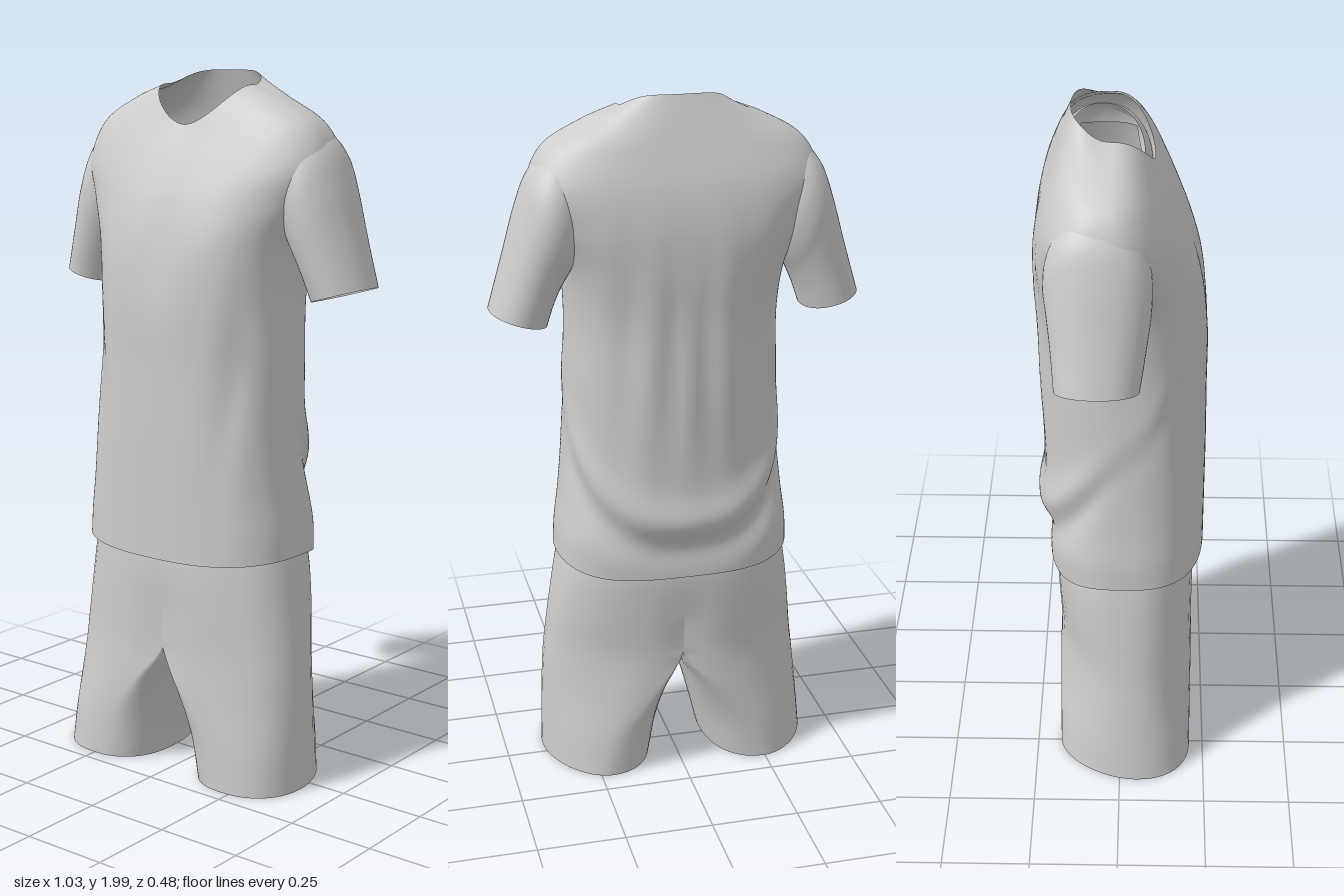
import * as THREE from 'three';
import { mergeVertices } from 'three/addons/utils/BufferGeometryUtils.js';

const gauss = (d, w) => Math.exp(-(d / w) * (d / w));
const lerp = THREE.MathUtils.lerp;
const smoothstep = THREE.MathUtils.smoothstep;
const bend = (v, n) => Math.sign(v) * Math.pow(Math.abs(v), 2 / n);

// Smooth surface through key rings; point(key, angle) gives one point of a ring.
// keep(col, row) can leave faces out; flip reverses the winding.
function loft(keys, point, cols, rows, { tweak, keep, flip } = {}) {
  const pos = [], index = [];
  for (let i = 0; i < cols; i++) {
    const a = (i / cols) * Math.PI * 2;
    const curve = new THREE.CatmullRomCurve3(keys.map(k => point(k, a)));
    for (let j = 0; j <= rows; j++) {
      const p = curve.getPoint(j / rows);
      if (tweak) tweak(p, a);
      pos.push(p.x, p.y, p.z);
    }
  }
  const id = (i, j) => (i % cols) * (rows + 1) + j;
  for (let i = 0; i < cols; i++) {
    for (let j = 0; j < rows; j++) {
      if (keep && !keep(i, j)) continue;
      const [a, b, c, d] = [id(i, j), id(i + 1, j), id(i + 1, j + 1), id(i, j + 1)];
      if (flip) index.push(a, c, b, a, d, c);
      else index.push(a, b, c, a, c, d);
    }
  }
  const g = new THREE.BufferGeometry();
  g.setAttribute('position', new THREE.Float32BufferAttribute(pos, 3));
  g.setIndex(index);
  g.computeVertexNormals();
  return g;
}

// Shirt body: half width, front z, back z, front y, side y, back y,
// front and back squareness, V of the neckline
const bodyKeys = [
  [0.34, 0.24, -0.21, 0.66, 0.675, 0.645, 2.6, 2.6, 2],
  [0.336, 0.24, -0.22, 0.74, 0.75, 0.73, 2.6, 2.5, 2],
  [0.323, 0.24, -0.222, 0.85, 0.85, 0.84, 2.6, 2.3, 2],
  [0.31, 0.24, -0.222, 1.0, 1.0, 1.0, 2.6, 2.2, 2],
  [0.303, 0.238, -0.228, 1.2, 1.2, 1.2, 2.5, 2.2, 2],
  [0.297, 0.238, -0.23, 1.4, 1.4, 1.4, 2.5, 2.4, 2],
  [0.312, 0.223, -0.235, 1.54, 1.54, 1.54, 2.5, 2.8, 2],
  [0.36, 0.19, -0.232, 1.65, 1.65, 1.66, 2.4, 3, 2],
  [0.4, 0.155, -0.212, 1.73, 1.755, 1.77, 2.3, 3.1, 2],
  [0.36, 0.128, -0.182, 1.785, 1.857, 1.86, 2.2, 2.8, 2],
  [0.25, 0.108, -0.155, 1.82, 1.924, 1.935, 2.2, 2.4, 1.8],
  [0.15, 0.088, -0.13, 1.855, 1.962, 2.0, 2.2, 2.4, 1.6],
];

function bodyPoint([hw, zF, zB, yF, yS, yB, nF, nB, vee], a) {
  const s = Math.sin(a), c = Math.cos(a), n = c > 0 ? nF : nB;
  const mid = (zF + zB) / 2, depth = (zF - zB) / 2;
  const y = c > 0 ? lerp(yF, yS, Math.pow(Math.abs(s), vee)) : lerp(yB, yS, s ** 4);
  return new THREE.Vector3(hw * bend(s, n), y, mid + depth * bend(c, n));
}

// Cloth folds: overhang rising from the back to the sides, back drapery, front hollows
function bodyFolds(p, a) {
  const c = Math.cos(a), s = Math.sin(a), { x, y } = p;
  const d = (y - (0.775 + 0.325 * (1 + c))) / 0.07;
  const sag = d * Math.exp(-d * d) * lerp(0.01, 0.042, smoothstep(-c, 0, 0.6)) * smoothstep(-c, -0.75, -0.3);
  const drape = c < 0 ? 0.006 * Math.sin(Math.abs(x) * 48 + y * 2) * gauss(y - 1.28, 0.28) * -c : 0;
  p.x += s * sag * 0.5;
  p.z += c * (sag + drape);
  if (c > 0) {
    p.z -= 0.012 * gauss(x, 0.07) * gauss(y - 1.52, 0.16);
    p.z -= 0.014 * gauss(Math.abs(x) - 0.24 - (y - 1.2) * 0.1, 0.04) * gauss(y - 1.2, 0.25);
  }
}

// Armholes, hidden inside the sleeves
const bodyKeep = (i, j) => !(j > 65 && j <= 80 && Math.abs((i % 60) - 30) < 7);

// Sleeve: upper point x y, underarm point x y, centre z, half depth
const sleeveKeys = [
  [0.31, 1.862, 0.27, 1.58, -0.055, 0.115],
  [0.358, 1.842, 0.285, 1.55, -0.055, 0.133],
  [0.4, 1.795, 0.302, 1.52, -0.055, 0.138],
  [0.434, 1.71, 0.322, 1.485, -0.052, 0.133],
  [0.472, 1.58, 0.342, 1.44, -0.053, 0.122],
  [0.517, 1.43, 0.36, 1.385, -0.057, 0.11],
];

function sleevePoint([ox, oy, ix, iy, zc, hz], a) {
  const t = (1 + Math.cos(a)) / 2;
  return new THREE.Vector3(lerp(ix, ox, t), lerp(iy, oy, t), zc + hz * bend(Math.sin(a), 2.2));
}

// Shorts half: outer x, seam x, inner x, front z, widest z, back z, y, squareness at the outer back
const legKeys = [
  [0.402, 0.235, 0.085, 0.21, 0.045, -0.18, 0.008, 1.75],
  [0.395, 0.195, 0.06, 0.21, 0.043, -0.181, 0.13, 1.8],
  [0.386, 0.1, 0.028, 0.212, 0.038, -0.183, 0.26, 1.9],
  [0.372, 0, 0, 0.213, 0.03, -0.185, 0.39, 2.1],
  [0.357, 0, 0, 0.214, 0.02, -0.189, 0.51, 2.3],
  [0.337, 0, 0, 0.213, 0.015, -0.192, 0.64, 2.45],
  [0.312, 0, 0, 0.204, 0.015, -0.18, 0.75, 2.45],
];

function legPoint([outer, seam, inner, zF, zM, zB, y, nB], a) {
  const s = Math.sin(a), c = Math.cos(a);
  const n = s > 0 && c < 0 ? nB : seam ? 2.3 : 2.5;
  const reach = s > 0 ? outer - seam : seam - inner;
  const dip = s < 0 && seam === 0 ? 0.035 * s : 0;
  const depth = c > 0 ? zF - zM : zM - zB;
  return new THREE.Vector3(seam + reach * bend(s, n), y + dip, zM + depth * bend(c, n));
}

// Both halves share the centre seam, so they are welded into one surface
function shortsGeometry() {
  const cols = 48, rows = 36, crotchRow = 18;
  const pos = [], index = [];
  for (const side of [1, -1]) {
    const g = loft(legKeys, legPoint, cols, rows, {
      flip: side < 0,
      keep: (i, j) => j < crotchRow || i < cols / 2,
      tweak: p => {
        p.z *= 1 - 0.1 * gauss(p.x, 0.05) * gauss(p.y - 0.42, 0.15);
        p.x = side * p.x - 0.014 * Math.max(0, 1 - p.y / 0.34);
      },
    });
    const base = pos.length / 3;
    for (const v of g.attributes.position.array) pos.push(v);
    for (const v of g.index.array) index.push(v + base);
  }
  let g = new THREE.BufferGeometry();
  g.setAttribute('position', new THREE.Float32BufferAttribute(pos, 3));
  g.setIndex(index);
  g = mergeVertices(g, 1e-4);
  g.computeVertexNormals();
  return g;
}

export function createModel() {
  const model = new THREE.Group();
  model.name = 'sportsOutfit';
  const cloth = new THREE.MeshStandardMaterial({ color: 0xcccccc, side: THREE.DoubleSide });
  cloth.name = 'light grey cloth';

  const add = (name, geometry, parent) => {
    const mesh = new THREE.Mesh(geometry, cloth);
    mesh.name = name;
    parent.add(mesh);
    return mesh;
  };

  const shirt = new THREE.Group();
  shirt.name = 'shirt';
  model.add(shirt);
  add('shirtBody', loft(bodyKeys, bodyPoint, 120, 110, { tweak: bodyFolds, keep: bodyKeep }), shirt);
  const sleeve = loft(sleeveKeys, sleevePoint, 48, 30);
  add('leftSleeve', sleeve, shirt);
  add('rightSleeve', sleeve, shirt).scale.x = -1;

  add('shorts', shortsGeometry(), model);
  return model;
}
